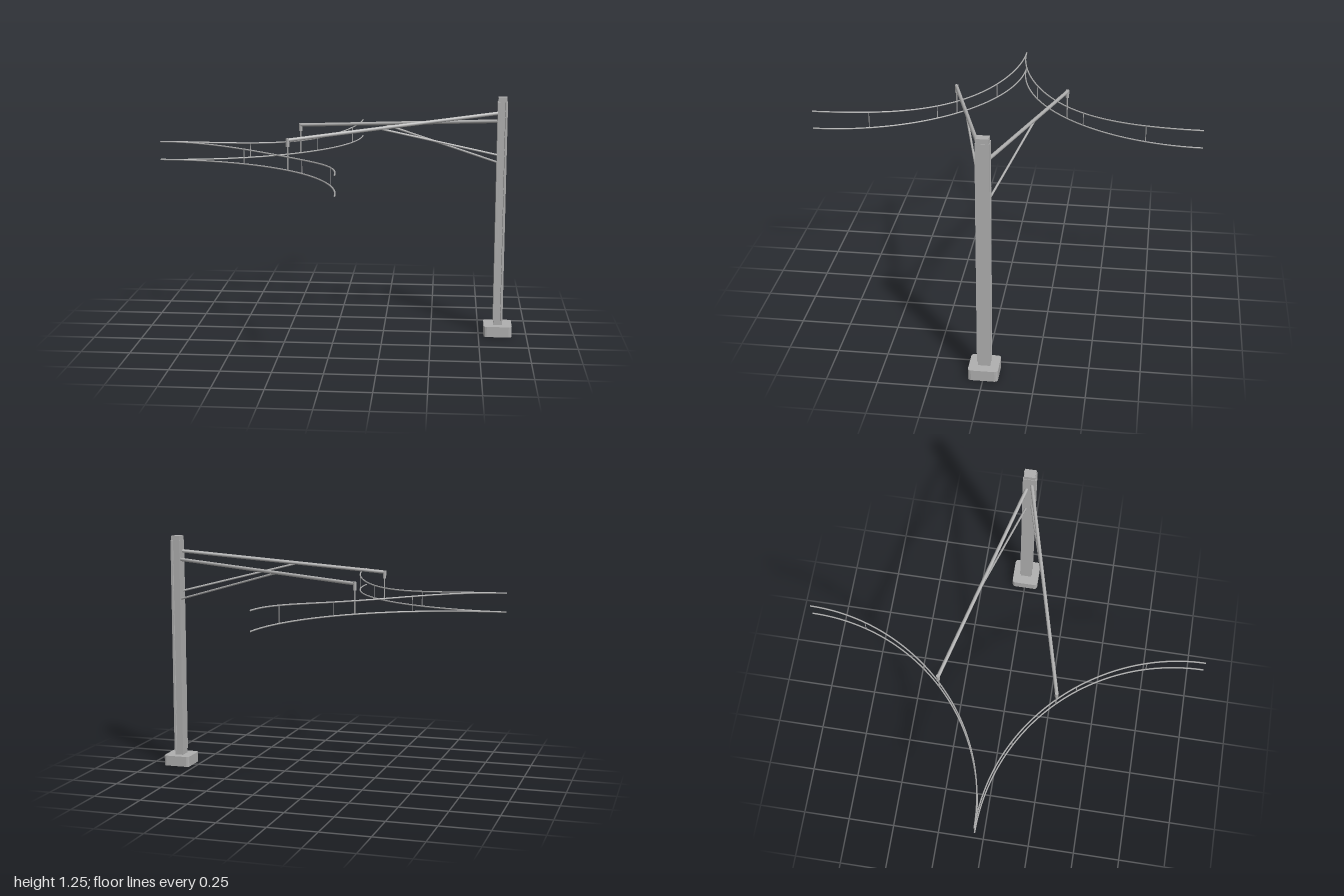
import * as THREE from 'three';

export function createModel() {
  const model = new THREE.Group();
  model.name = 'catenaryMast';
  const steel = new THREE.MeshStandardMaterial({ color: 0xb0b0b0 });
  steel.name = 'greySteel';

  const add = (name, geometry) => {
    const mesh = new THREE.Mesh(geometry, steel);
    mesh.name = name;
    model.add(mesh);
    return mesh;
  };

  // Round bar between two points
  const bar = (name, a, b, radius, sides = 8) => {
    const dir = b.clone().sub(a);
    const mesh = add(name, new THREE.CylinderGeometry(radius, radius, dir.length(), sides));
    mesh.position.copy(a).add(b).multiplyScalar(0.5);
    mesh.quaternion.setFromUnitVectors(new THREE.Vector3(0, 1, 0), dir.normalize());
    return mesh;
  };

  // Plan outline raised from y0 to y1
  const raise = (name, points, y0, y1, x) => {
    const shape = new THREE.Shape(points.map(p => new THREE.Vector2(p[0], p[1])));
    const geometry = new THREE.ExtrudeGeometry(shape, { depth: y1 - y0, bevelEnabled: false });
    geometry.rotateX(-Math.PI / 2).translate(x, y0, 0);
    return add(name, geometry);
  };

  const V = (x, y, z) => new THREE.Vector3(x, y, z);
  const poleX = 0.85;

  // Footing with rounded corners
  const corners = [];
  for (let q = 0; q < 4; q++) {
    for (let i = 0; i <= 3; i++) {
      const a = (q + i / 3) * Math.PI / 2;
      const sx = q === 0 || q === 3 ? 1 : -1;
      const sz = q < 2 ? 1 : -1;
      corners.push([sx * 0.057 + Math.cos(a) * 0.016, sz * 0.057 + Math.sin(a) * 0.016]);
    }
  }
  raise('footing', corners, 0, 0.055, poleX);

  // Grooved H-section column around a slimmer core
  const half = [[0.025, -0.034], [0.025, 0.034], [0.014, 0.034], [0.01, 0.022], [-0.01, 0.022], [-0.014, 0.034]];
  raise('column', [...half, ...half.map(([x, z]) => [-x, -z])], 0.078, 1.227, poleX);
  const core = add('columnCore', new THREE.BoxGeometry(0.044, 1.2, 0.056));
  core.position.set(poleX, 0.65, 0);
  for (const side of [-1, 1]) {
    const flange = add('coreFlange', new THREE.BoxGeometry(0.01, 1.2, 0.06));
    flange.position.set(poleX + side * 0.0175, 0.65, 0);
  }

  // Quarter-circle wires, mirrored front to back
  const contactY = 0.905;
  const sagY = t => 1 - 0.028 * Math.sin(2 * t) ** 2;
  const onArc = (t, y, side) => V(-0.927 + Math.sin(t), y, side * (1 - Math.cos(t)));

  for (const side of [-1, 1]) {
    const upper = [], lower = [];
    for (let i = 0; i <= 32; i++) {
      const t = i / 32 * Math.PI / 2;
      upper.push(onArc(t, sagY(t), side));
      lower.push(onArc(t, contactY, side));
    }
    add('messengerWire', new THREE.TubeGeometry(new THREE.CatmullRomCurve3(upper), 64, 0.004, 6));
    add('contactWire', new THREE.TubeGeometry(new THREE.CatmullRomCurve3(lower), 64, 0.004, 6));

    // Droppers joining the two wires
    for (const degrees of [27.3, 52, 73.3]) {
      const t = THREE.MathUtils.degToRad(degrees);
      bar('dropper', onArc(t, contactY, side), onArc(t, sagY(t), side), 0.0022, 6);
    }

    // Cantilever arm, the two fixed at different heights
    const root = V(0.835, side > 0 ? 1.169 : 1.125, side * 0.011);
    const tip = onArc(Math.PI / 4, 1.057, side);
    bar('arm', root, tip, 0.0095);

    // Clamp and hanger at the arm's tip
    bar('clamp', V(tip.x, 1.024, tip.z), V(tip.x, 1.066, tip.z), 0.0095);
    bar('hanger', V(tip.x, contactY, tip.z), V(tip.x, 1.03, tip.z), 0.0035, 6);

    // Diagonal brace beneath the arm
    const joint = root.clone().lerp(tip, 0.56);
    joint.y -= 0.006;
    bar('brace', V(0.835, side > 0 ? 0.952 : 0.91, side * 0.012), joint, 0.0055);
  }
  return model;
}
